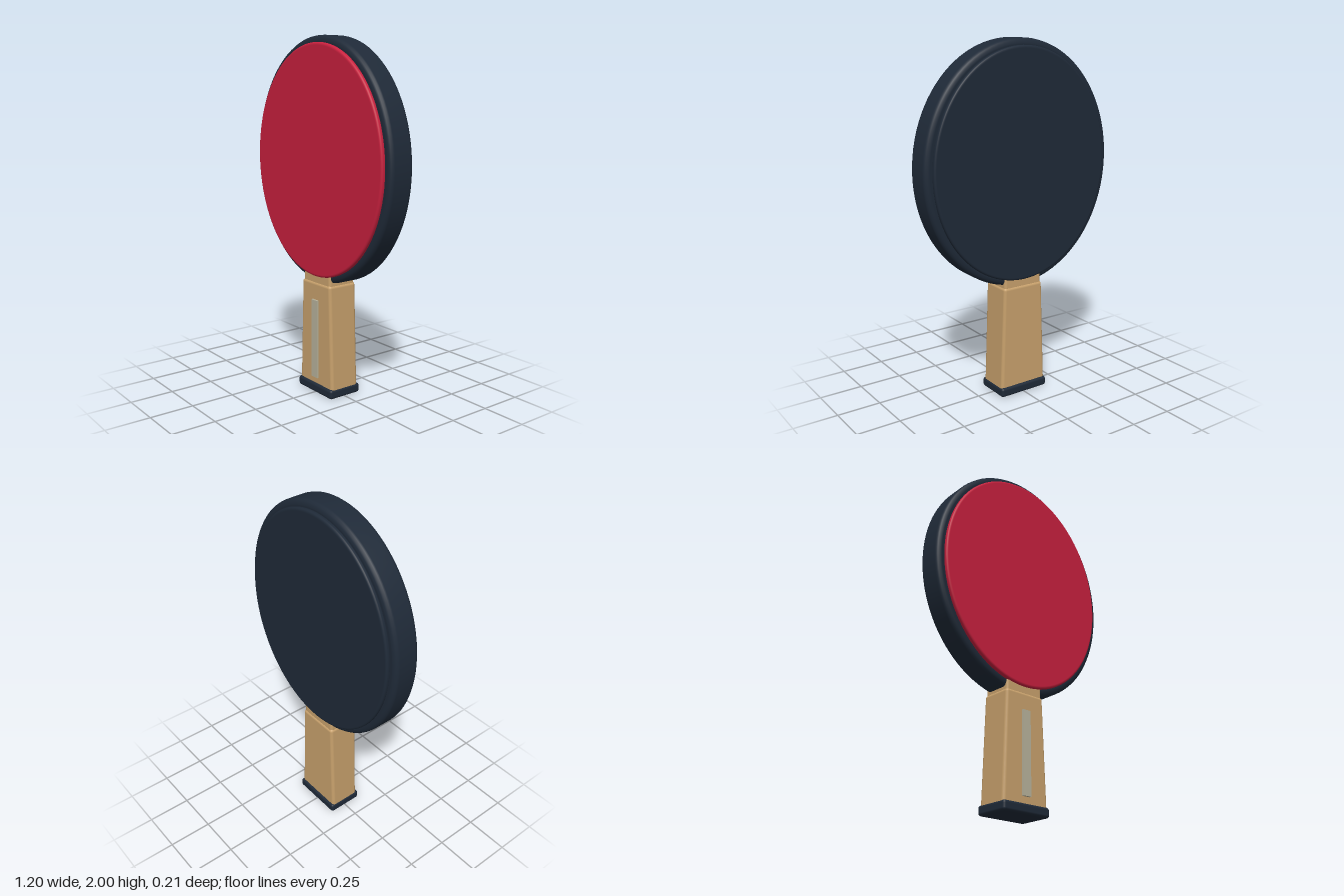
import * as THREE from 'three';
import { RoundedBoxGeometry } from 'three/addons/geometries/RoundedBoxGeometry.js';

const paint = (name, color) => {
  const m = new THREE.MeshStandardMaterial({ color });
  m.name = name;
  return m;
};

// Elliptical disc facing z with rounded rims, spanning z0..z1
function ovalDisc(rx, ry, z0, z1, bevel) {
  const half = (z1 - z0) / 2;
  const pts = [new THREE.Vector2(0, -half), new THREE.Vector2(rx - bevel - 0.002, -half)];
  for (const side of [-1, 1]) {
    for (let i = 0; i <= 4; i++) {
      const a = (side < 0 ? -Math.PI / 2 : 0) + (i / 4) * Math.PI / 2;
      pts.push(new THREE.Vector2(rx - bevel + Math.cos(a) * bevel, side * (half - bevel) + Math.sin(a) * bevel));
    }
  }
  pts.push(new THREE.Vector2(rx - bevel - 0.002, half), new THREE.Vector2(0, half));
  const g = new THREE.LatheGeometry(pts, 96);
  g.rotateX(Math.PI / 2);
  g.scale(1, ry / rx, 1);
  g.translate(0, 0, (z0 + z1) / 2);
  return g;
}

// Rounded block from y0 to y1 whose half-width runs from w0 to w1
function taperedBlock(w0, w1, y0, y1, depth, radius) {
  const g = new RoundedBoxGeometry(2 * w0, y1 - y0, depth, 4, radius);
  g.translate(0, (y0 + y1) / 2, 0);
  const p = g.attributes.position;
  for (let i = 0; i < p.count; i++) {
    const t = (p.getY(i) - y0) / (y1 - y0);
    p.setX(i, p.getX(i) * (1 + (w1 / w0 - 1) * t));
  }
  return g;
}

export function createModel() {
  const model = new THREE.Group();
  model.name = 'tableTennisBat';
  const navy = paint('darkNavy', 0x1f2a38);
  const red = paint('redRubber', 0xc8203e);
  const wood = paint('lightWood', 0xc9a26d);
  const grey = paint('warmGrey', 0xb8b39c);

  const add = (name, geometry, material, y = 0, z = 0) => {
    const mesh = new THREE.Mesh(geometry, material);
    mesh.name = name;
    mesh.position.set(0, y, z);
    model.add(mesh);
  };

  // Blade and the two rubber sheets
  add('blade', ovalDisc(0.6, 0.677, -0.077, 0.077, 0.027), navy, 1.323);
  add('frontRubber', ovalDisc(0.557, 0.64, 0.07, 0.099, 0.011), red, 1.322);
  add('backRubber', ovalDisc(0.557, 0.64, -0.099, -0.07, 0.011), navy, 1.322);

  // Handle, neck and end cap
  add('handle', taperedBlock(0.151, 0.127, 0.02, 0.648, 0.184, 0.018), wood);
  add('neck', taperedBlock(0.124, 0.12, 0.58, 0.72, 0.172, 0.015), wood);
  add('endCap', taperedBlock(0.155, 0.155, 0, 0.054, 0.208, 0.015), navy);

  // Inlay strip on the handle front
  add('inlayStrip', new THREE.BoxGeometry(0.052, 0.456, 0.014), grey, 0.318, 0.097);
  return model;
}
